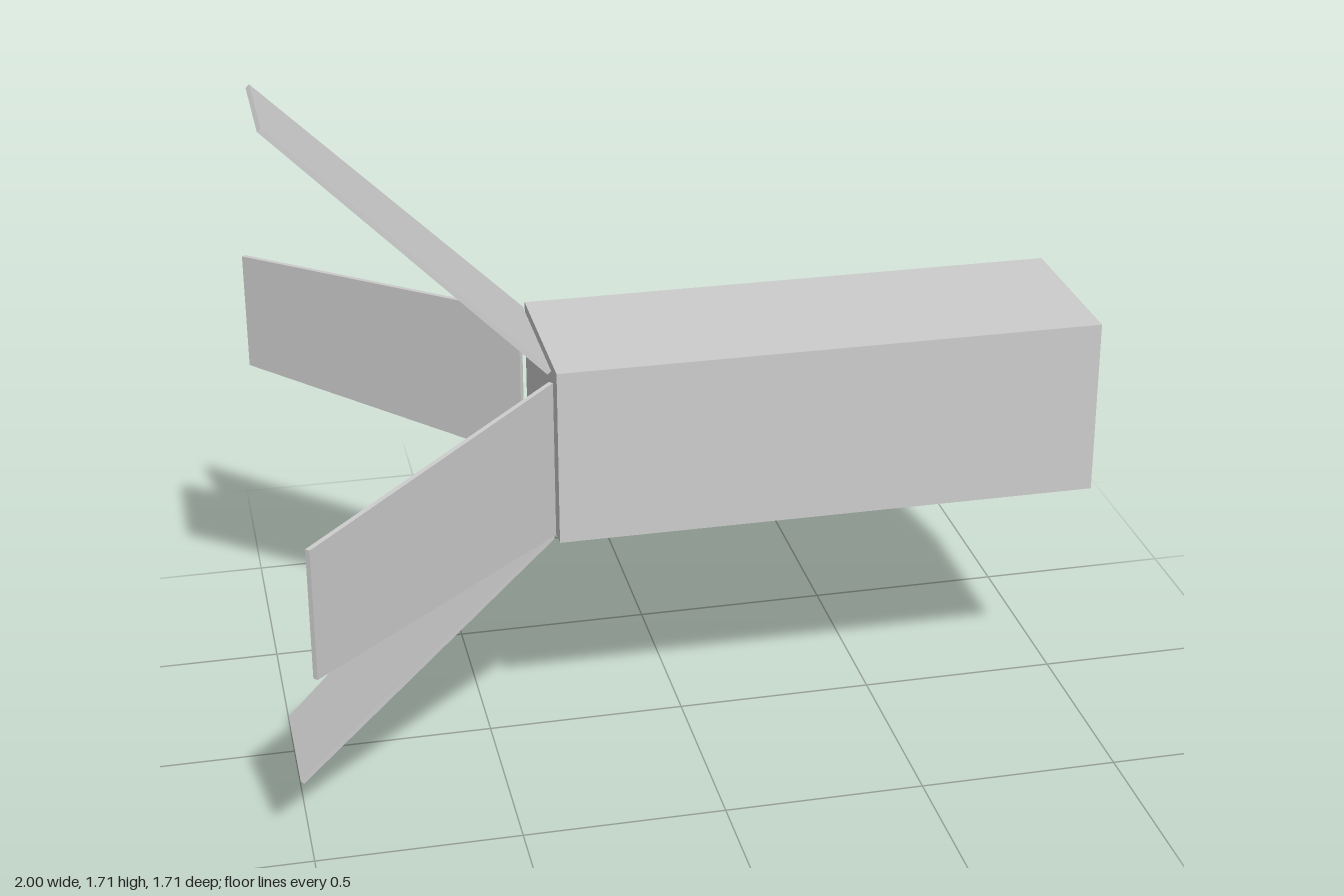
import * as THREE from 'three';

export function createModel() {
  const model = new THREE.Group();
  const grey = new THREE.MeshStandardMaterial({ color: 0xcccccc });
  grey.name = 'light grey';
  const centreY = 0.857;

  // Square box body
  const body = new THREE.Mesh(new THREE.BoxGeometry(1.348, 0.445, 0.445), grey);
  body.name = 'body';
  body.position.set(0.326, centreY, 0);
  model.add(body);

  // Thin panel along +y, tapering from root to tip
  const length = 0.897, rootHalf = 0.2, tipHalf = 0.157, thickness = 0.012;
  const outline = new THREE.Shape([
    new THREE.Vector2(-rootHalf, 0),
    new THREE.Vector2(rootHalf, 0),
    new THREE.Vector2(tipHalf, length),
    new THREE.Vector2(-tipHalf, length),
  ]);
  const panelGeometry = new THREE.ExtrudeGeometry(outline, { depth: thickness, bevelEnabled: false });
  panelGeometry.translate(0, 0, -thickness / 2);
  panelGeometry.rotateY(Math.PI / 2);
  panelGeometry.rotateZ(Math.PI / 4); // splay outward and away from the body
  panelGeometry.translate(-0.361, 0.217, 0);

  // Four splayed panels around the body axis
  ['topPanel', 'frontPanel', 'bottomPanel', 'backPanel'].forEach((name, i) => {
    const panel = new THREE.Mesh(panelGeometry, grey);
    panel.name = name;
    panel.position.y = centreY;
    panel.rotation.x = i * Math.PI / 2;
    model.add(panel);
  });

  return model;
}
